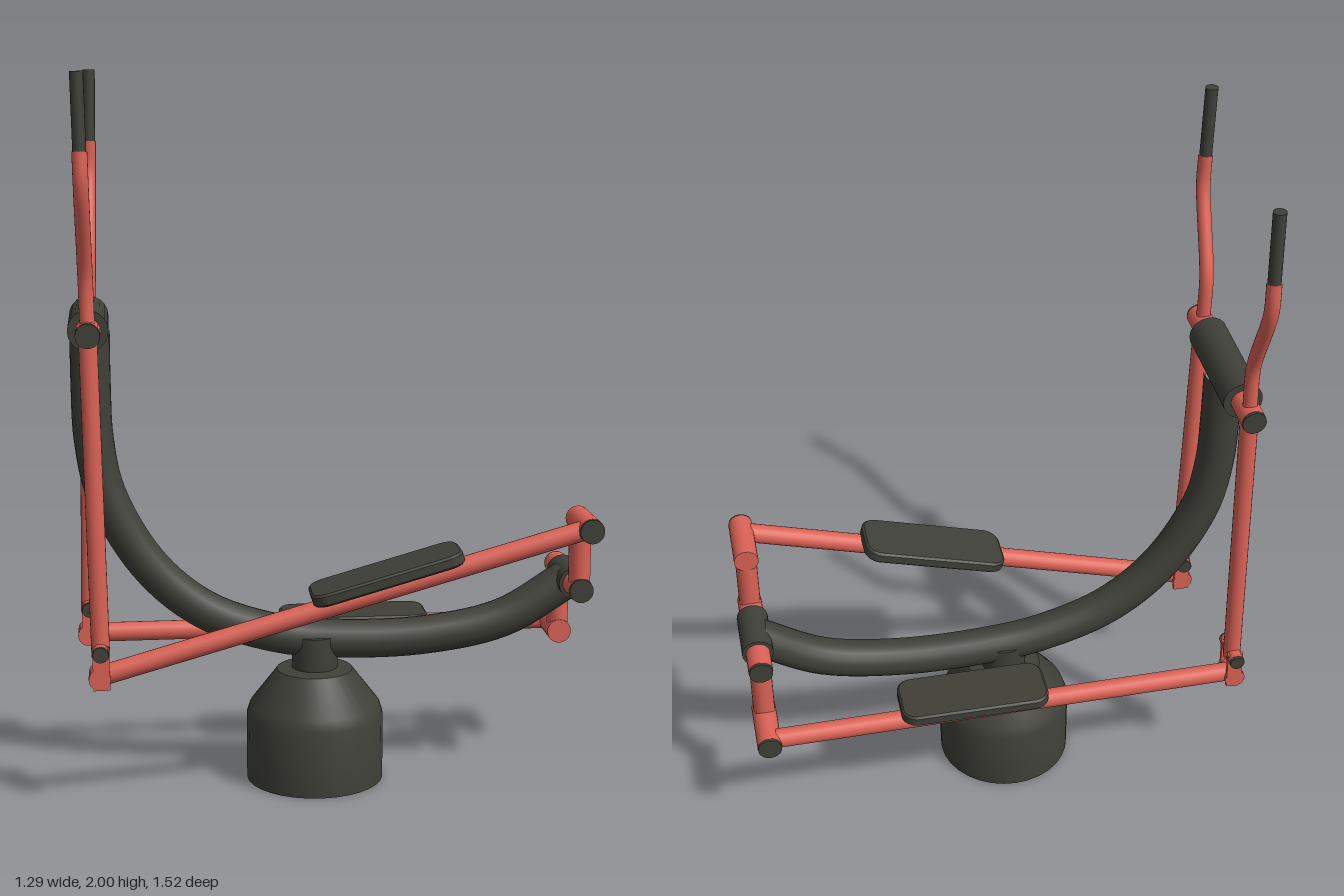
import * as THREE from 'three';
import { toCreasedNormals } from 'three/addons/utils/BufferGeometryUtils.js';

const red = new THREE.MeshStandardMaterial({ color: 0xdb6255 });
red.name = 'coral red paint';
const dark = new THREE.MeshStandardMaterial({ color: 0x3f4038 });
dark.name = 'dark grey';

const V = (x, y, z) => new THREE.Vector3(x, y, z);

function add(parent, name, geometry, material) {
  const mesh = new THREE.Mesh(geometry, material);
  mesh.name = name;
  parent.add(mesh);
  return mesh;
}

// Round bar between two points
function rod(parent, name, a, b, radius, material) {
  const mesh = add(parent, name, new THREE.CylinderGeometry(radius, radius, a.distanceTo(b), 20), material);
  mesh.position.copy(a).lerp(b, 0.5);
  mesh.quaternion.setFromUnitVectors(V(0, 1, 0), b.clone().sub(a).normalize());
  return mesh;
}

// Horizontal pin along x, with dark caps at the listed ends
function pin(parent, name, x0, x1, y, z, radius, capEnds) {
  rod(parent, name, V(x0, y, z), V(x1, y, z), radius, red);
  for (const x of capEnds) {
    const d = x === Math.max(x0, x1) ? 0.008 : -0.008;
    rod(parent, name + 'Cap', V(x, y, z), V(x + d, y, z), radius * 0.97, dark);
  }
}

function bentTube(parent, name, points, radius, material, segments) {
  const curve = new THREE.CatmullRomCurve3(points);
  return add(parent, name, new THREE.TubeGeometry(curve, segments, radius, 20), material);
}

// Rounded foot plate lying in the xz plane
function footPlate(width, length, r, thickness) {
  const w = width / 2, l = length / 2, s = new THREE.Shape();
  s.absarc(w - r, l - r, r, 0, Math.PI / 2);
  s.absarc(-w + r, l - r, r, Math.PI / 2, Math.PI);
  s.absarc(-w + r, -l + r, r, Math.PI, Math.PI * 1.5);
  s.absarc(w - r, -l + r, r, Math.PI * 1.5, Math.PI * 2);
  const g = new THREE.ExtrudeGeometry(s, {
    depth: thickness - 0.012, curveSegments: 6,
    bevelEnabled: true, bevelSize: 0.006, bevelOffset: -0.006, bevelThickness: 0.006, bevelSegments: 1,
  });
  g.translate(0, 0, 0.006);
  g.rotateX(-Math.PI / 2);
  return toCreasedNormals(g, 0.5);
}

export function createModel() {
  const model = new THREE.Group();
  model.name = 'ellipticalTrainer';
  const body = new THREE.Group();
  body.name = 'machine';
  body.position.set(0.005, 0, 0.004);
  body.rotation.y = -0.586;
  model.add(body);

  // Pedestal and neck
  const profile = [[0, 0], [0.195, 0], [0.195, 0.19], [0.185, 0.22], [0.108, 0.32], [0.065, 0.325], [0.065, 0.42], [0, 0.42]]
    .map(([x, y]) => new THREE.Vector2(x, y));
  add(body, 'pedestal', toCreasedNormals(new THREE.LatheGeometry(profile, 32), 0.5), dark)
    .position.set(0.003, 0, 0.024);

  // Curved main frame
  const spine = [[1.3, 0.642], [1.15, 0.642], [1.0, 0.637], [0.84, 0.605], [0.635, 0.49], [0.5, 0.335], [0.425, 0.13],
    [0.405, -0.03], [0.407, -0.29], [0.452, -0.52], [0.56, -0.705]].map(([y, z]) => V(0, y, z));
  bentTube(body, 'mainFrame', spine, 0.055, dark, 64);

  // Handle pivot housing and crank housing
  const pivotY = 1.32, pivotZ = 0.645, hubY = 0.567, hubZ = -0.71;
  rod(body, 'handleHousing', V(-0.167, pivotY, pivotZ), V(0.167, pivotY, pivotZ), 0.055, dark);
  rod(body, 'crankHousing', V(-0.08, hubY, hubZ), V(0.08, hubY, hubZ), 0.045, dark);
  pin(body, 'handleAxle', -0.265, 0.265, pivotY, pivotZ, 0.034, [-0.265, 0.265]);
  pin(body, 'crankAxle', -0.158, 0.158, hubY, hubZ, 0.035, [-0.158, 0.158]);

  for (const s of [1, -1]) {
    const side = s > 0 ? 'left' : 'right';

    // Swinging handle with grip
    const handle = new THREE.Group();
    handle.name = side + 'Handle';
    handle.position.set(s * 0.225, pivotY, pivotZ);
    handle.rotation.x = s * 0.019;
    body.add(handle);
    rod(handle, 'lowerArm', V(0, -0.88, 0), V(0, 0.02, 0), 0.025, red);
    const bend = [[0, 0], [0, 0.12], [0.01, 0.17], [0.1, 0.365], [0.11, 0.41], [0.11, 0.48]]
      .map(([x, y]) => V(s * x, y, 0));
    bentTube(handle, 'upperArm', bend, 0.02, red, 32);
    rod(handle, 'grip', V(s * 0.11, 0.47, 0), V(s * 0.11, 0.68, 0), 0.0175, dark);

    // Fork joint at the foot of the handle
    pin(handle, 'forkPin', -0.05, 0.05, -0.86, 0, 0.022, [-0.05, 0.05]);
    for (const x of [-0.031, 0.031]) {
      add(handle, 'forkPlate', new THREE.BoxGeometry(0.012, 0.12, 0.045), red).position.set(x, -0.905, 0);
    }

    // Crank arm and crank pin
    const crankY = s > 0 ? 0.763 : 0.375;
    rod(body, side + 'CrankArm', V(s * 0.13, hubY, hubZ), V(s * 0.13, crankY, hubZ), 0.031, red);
    pin(body, side + 'CrankPin', s * 0.098, s * 0.268, crankY, hubZ, 0.035, [s * 0.268]);

    // Pedal bar with foot plate
    const front = V(s * 0.225, s > 0 ? 0.385 : 0.378, s > 0 ? 0.632 : 0.666);
    const rear = V(s * 0.235, crankY, hubZ);
    rod(body, side + 'PedalBar', front, rear, 0.028, red);
    rod(body, side + 'BarEnd', V(s * 0.225 - 0.036, front.y, front.z), V(s * 0.225 + 0.036, front.y, front.z), 0.03, red);
    const plateZ = s > 0 ? -0.162 : -0.111;
    const t = (front.z - plateZ) / (front.z - rear.z);
    const pedal = new THREE.Group();
    pedal.name = side + 'Pedal';
    pedal.position.set(s * 0.205, front.y + (rear.y - front.y) * t, plateZ);
    pedal.rotation.x = Math.atan2(rear.y - front.y, front.z - rear.z);
    body.add(pedal);
    add(pedal, 'footPlate', footPlate(0.17, 0.43, 0.045, 0.035), dark).position.y = 0.018;
  }
  return model;
}
